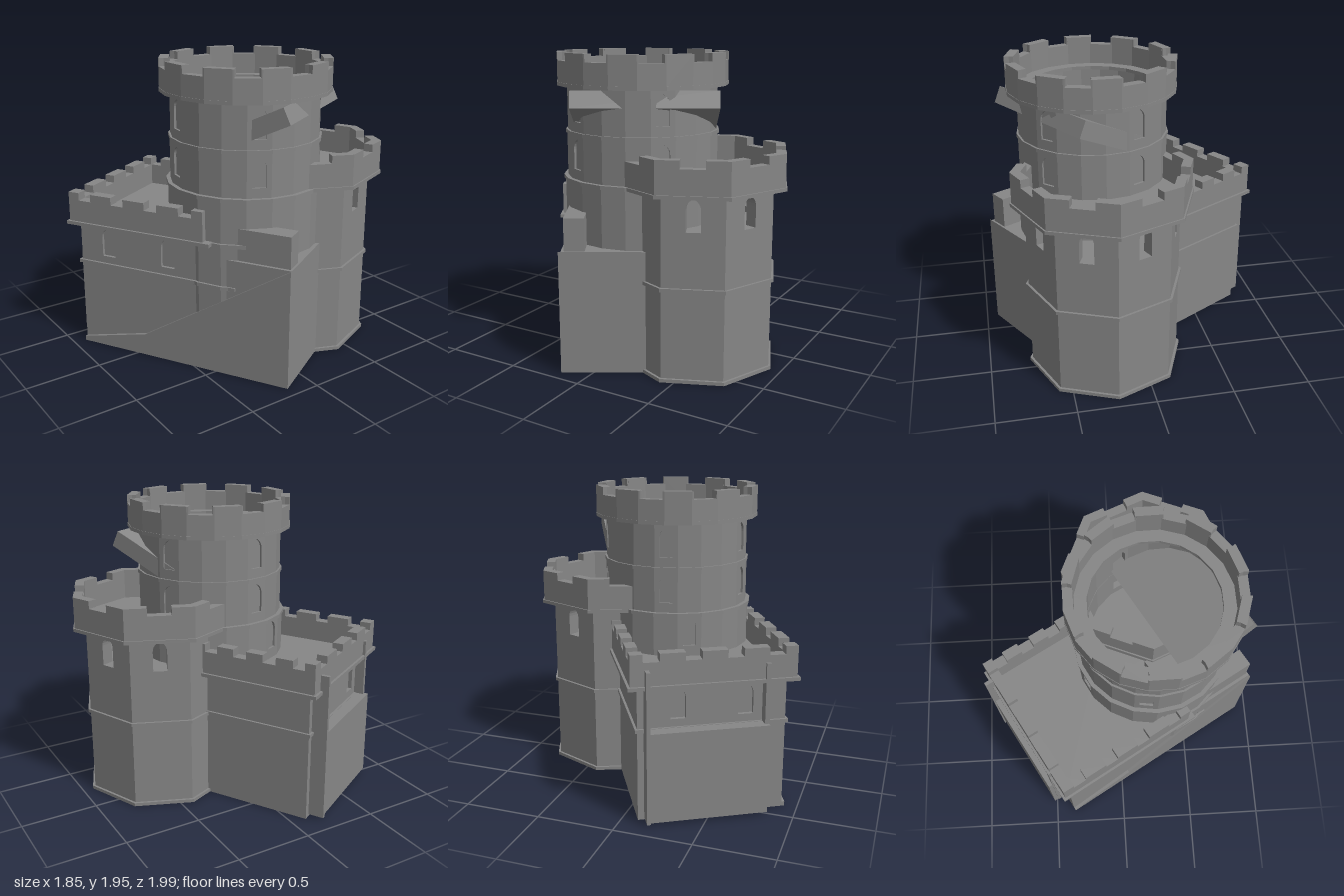
import * as THREE from 'three';

const stone = new THREE.MeshStandardMaterial({ color: 0x868686, flatShading: true, side: THREE.DoubleSide });
const rad = THREE.MathUtils.degToRad;

function add(parent, name, geometry, x = 0, y = 0, z = 0) {
  const mesh = new THREE.Mesh(geometry, stone);
  mesh.name = name;
  mesh.position.set(x, y, z);
  parent.add(mesh);
  return mesh;
}

// Box given by its limits
function block(parent, name, x0, x1, y0, y1, z0, z1) {
  return add(parent, name, new THREE.BoxGeometry(x1 - x0, y1 - y0, z1 - z0),
    (x0 + x1) / 2, (y0 + y1) / 2, (z0 + z1) / 2);
}

// Pointed-arch opening, x is its middle and y its sill
function archHole({ x, y, w, h }) {
  const p = new THREE.Path();
  p.moveTo(x - w / 2, y);
  p.lineTo(x - w / 2, y + h * 0.65);
  p.quadraticCurveTo(x - w / 2, y + h * 0.88, x, y + h);
  p.quadraticCurveTo(x + w / 2, y + h * 0.88, x + w / 2, y + h * 0.65);
  p.lineTo(x + w / 2, y);
  p.closePath();
  return p;
}

// Wall panel from x0 to x1, with arched windows and battlement gaps cut in the top
function panelGeometry(x0, x1, h, t, { windows = [], gaps = [] } = {}) {
  const drop = 0.05;
  const s = new THREE.Shape();
  s.moveTo(x0, 0);
  s.lineTo(x1, 0);
  s.lineTo(x1, h);
  for (const [a, b] of [...gaps].reverse()) {
    s.lineTo(b, h);
    s.lineTo(b, h - drop);
    s.lineTo(a, h - drop);
    s.lineTo(a, h);
  }
  s.lineTo(x0, h);
  s.closePath();
  s.holes = windows.map(archHole);
  return new THREE.ExtrudeGeometry(s, { depth: t, bevelEnabled: false, curveSegments: 5 });
}

// Ring of panels around a regular polygon; a0 is the direction of its first face,
// count the number of sides built, windowFaces the sides that get a window
function polyWall(parent, name, { n, a0, r, t, y0, y1, count = n, windowFaces = [], window: win, blind, gapEvery, gap }) {
  const ring = new THREE.Group();
  ring.name = name;
  const half = r * Math.sin(Math.PI / n);
  const apothem = r * Math.cos(Math.PI / n);
  for (let i = 0; i < count; i++) {
    const turn = Math.PI / 2 - a0 - i * 2 * Math.PI / n;
    const windows = windowFaces.includes(i) ? [win] : [];
    const gaps = gapEvery && i % gapEvery === 0 ? [[-gap / 2, gap / 2]] : [];
    const g = panelGeometry(-half, half, y1 - y0, t, { windows, gaps });
    g.translate(0, 0, apothem - t);
    add(ring, name + 'Side', g, 0, y0, 0).rotation.y = turn;
    // Blind window: a thin stone infill just behind the face
    if (blind && windows.length) {
      const pane = new THREE.BoxGeometry(win.w + 0.01, win.h + 0.01, 0.015);
      pane.translate(0, win.y + win.h / 2, apothem - 0.022);
      add(ring, 'windowInfill', pane, 0, y0, 0).rotation.y = turn;
    }
  }
  parent.add(ring);
}

function polySolid(parent, name, { n, a0, r, y0, y1 }) {
  const start = Math.PI / 2 - a0 - Math.PI / n;
  add(parent, name, new THREE.CylinderGeometry(r, r, y1 - y0, n, 1, false, start), 0, (y0 + y1) / 2, 0);
}

// Evenly spaced battlement gaps along a straight wall
function spacedGaps(x0, x1, count, w) {
  const step = (x1 - x0) / count;
  return Array.from({ length: count }, (_, i) => {
    const c = x0 + (i + 0.5) * step;
    return [c - w / 2, c + w / 2];
  });
}

function makeRoundTower() {
  const g = new THREE.Group();
  g.name = 'roundTower';
  g.position.set(0.225, 0, 0);
  const p = { n: 20, a0: rad(26) };
  const win = { x: 0, w: 0.085, h: 0.19 };
  const windowFaces = [0, 4, 8, 12, 16];
  polySolid(g, 'towerBase', { ...p, r: 0.5, y0: 0, y1: 0.9 });
  polyWall(g, 'towerLowerWall', { ...p, r: 0.5, t: 0.09, y0: 0.9, y1: 1.16, windowFaces: [7], window: { ...win, y: 0.055 }, blind: true });
  polyWall(g, 'towerMiddleWall', { ...p, r: 0.485, t: 0.07, y0: 1.16, y1: 1.45, windowFaces, window: { ...win, y: 0.075 }, blind: true });
  polyWall(g, 'towerUpperWall', { ...p, r: 0.48, t: 0.065, y0: 1.45, y1: 1.76, windowFaces, window: { ...win, y: 0.08 }, blind: true });
  for (const [y, r] of [[1.16, 0.512], [1.455, 0.493]])
    polyWall(g, 'towerStringCourse', { ...p, r, t: 0.08, y0: y - 0.012, y1: y + 0.012 });
  // Lower courses only run round the front, where the tower bulges out of the keep
  for (const y of [0.59, 0.87])
    polyWall(g, 'towerFrontCourse', { ...p, a0: rad(44), count: 4, r: 0.515, t: 0.08, y0: y - 0.012, y1: y + 0.012 });
  // Battlemented crown, turned by half a side
  const c = { n: 20, a0: rad(35) };
  polyWall(g, 'crownLedge', { ...c, r: 0.548, t: 0.14, y0: 1.745, y1: 1.768 });
  polyWall(g, 'crownParapet', { ...c, r: 0.545, t: 0.06, y0: 1.768, y1: 1.95, gapEvery: 2, gap: 0.15 });
  return g;
}

function makeOctagonTower() {
  const g = new THREE.Group();
  g.name = 'octagonTower';
  g.position.set(0.225, 0, -0.42);
  const p = { n: 8, a0: rad(22.5) };
  polySolid(g, 'octagonBase', { ...p, r: 0.495, y0: 0, y1: 0.9 });
  polyWall(g, 'octagonChamber', { ...p, r: 0.495, t: 0.08, y0: 0.9, y1: 1.16, windowFaces: [4, 5, 6, 7], window: { x: 0, y: 0.04, w: 0.09, h: 0.2 } });
  for (const y of [0.01, 0.585])
    polySolid(g, 'octagonStringCourse', { ...p, r: 0.512, y0: y - 0.01, y1: y + 0.012 });
  polySolid(g, 'octagonRoof', { ...p, r: 0.58, y0: 1.15, y1: 1.172 });
  polyWall(g, 'octagonParapet', { ...p, r: 0.57, t: 0.06, y0: 1.172, y1: 1.375, gapEvery: 1, gap: 0.15 });
  return g;
}

function makeKeep() {
  const g = new THREE.Group();
  g.name = 'keep';
  g.rotation.y = rad(30);
  const win = { y: 0.65, w: 0.095, h: 0.2 };

  // Walls, with a core that closes the windows
  add(g, 'keepFrontWall', panelGeometry(-0.775, 0.3, 0.87, 0.1,
    { windows: [-0.563, -0.124].map(x => ({ ...win, x })) }), 0, 0, 0.495);
  const left = add(g, 'keepLeftWall', panelGeometry(-0.33, 0.595, 0.87, 0.1,
    { windows: [-0.08, 0.34].map(x => ({ ...win, x })) }), -0.675, 0, 0);
  left.rotation.y = -Math.PI / 2;
  block(g, 'keepBackWall', -0.775, 0.3, 0, 0.87, -0.33, -0.23);
  block(g, 'keepCore', -0.75, 0.3, 0, 0.865, -0.3, 0.575);
  block(g, 'keepRightBlock', 0.29, 0.714, 0, 0.78, -0.33, 0.6);
  block(g, 'keepEndWall', 0.29, 0.7, 0.7, 0.985, 0.455, 0.58);

  // String course around the outside, and the roof with its ledge
  block(g, 'frontStringCourse', -0.79, 0.35, 0.58, 0.602, 0.55, 0.61);
  block(g, 'backStringCourse', -0.79, 0.2, 0.58, 0.602, -0.345, -0.28);
  block(g, 'leftStringCourse', -0.79, -0.73, 0.58, 0.602, -0.345, 0.61);
  block(g, 'keepRoof', -0.838, 0.2, 0.862, 0.885, -0.393, 0.66);

  // Battlements
  add(g, 'frontParapet', panelGeometry(-0.822, 0.15, 0.2, 0.07,
    { gaps: spacedGaps(-0.822, 0.15, 4, 0.09) }), 0, 0.88, 0.575);
  add(g, 'backParapet', panelGeometry(-0.822, 0.0, 0.2, 0.07,
    { gaps: spacedGaps(-0.822, 0.0, 4, 0.09) }), 0, 0.88, -0.377);
  const side = add(g, 'leftParapet', panelGeometry(-0.377, 0.645, 0.2, 0.07,
    { gaps: spacedGaps(-0.377, 0.645, 4, 0.1) }), -0.752, 0.88, 0);
  side.rotation.y = -Math.PI / 2;
  block(g, 'rightParapet', 0.09, 0.15, 0.88, 1.08, 0.2, 0.6);

  // Projecting bay on the left wall, between two thin piers
  block(g, 'leftBay', -0.868, -0.77, 0.02, 0.6, -0.28, 0.47);
  block(g, 'leftBackPier', -0.878, -0.77, 0.015, 0.985, -0.29, -0.265);
  block(g, 'leftFrontPier', -0.84, -0.77, 0.015, 0.985, 0.445, 0.475);

  // Sloping ramp against the front wall
  const ramp = new THREE.Shape([[-0.775, 0], [0.714, 0], [0.714, 0.78], [-0.294, 0.15], [-0.775, 0.03]]
    .map(([x, y]) => new THREE.Vector2(x, y)));
  add(g, 'frontRamp', new THREE.ExtrudeGeometry(ramp, { depth: 0.035, bevelEnabled: false }), 0, 0, 0.58);

  // Tilted floor slab lodged in the upper round tower
  const slab = add(g, 'tiltedFloor', new THREE.BoxGeometry(0.51, 0.11, 0.885), 0.405, 1.58, 0.09);
  slab.rotation.z = rad(25);
  return g;
}

export function createModel() {
  const model = new THREE.Group();
  model.name = 'castle';
  model.add(makeRoundTower(), makeOctagonTower(), makeKeep());
  return model;
}
